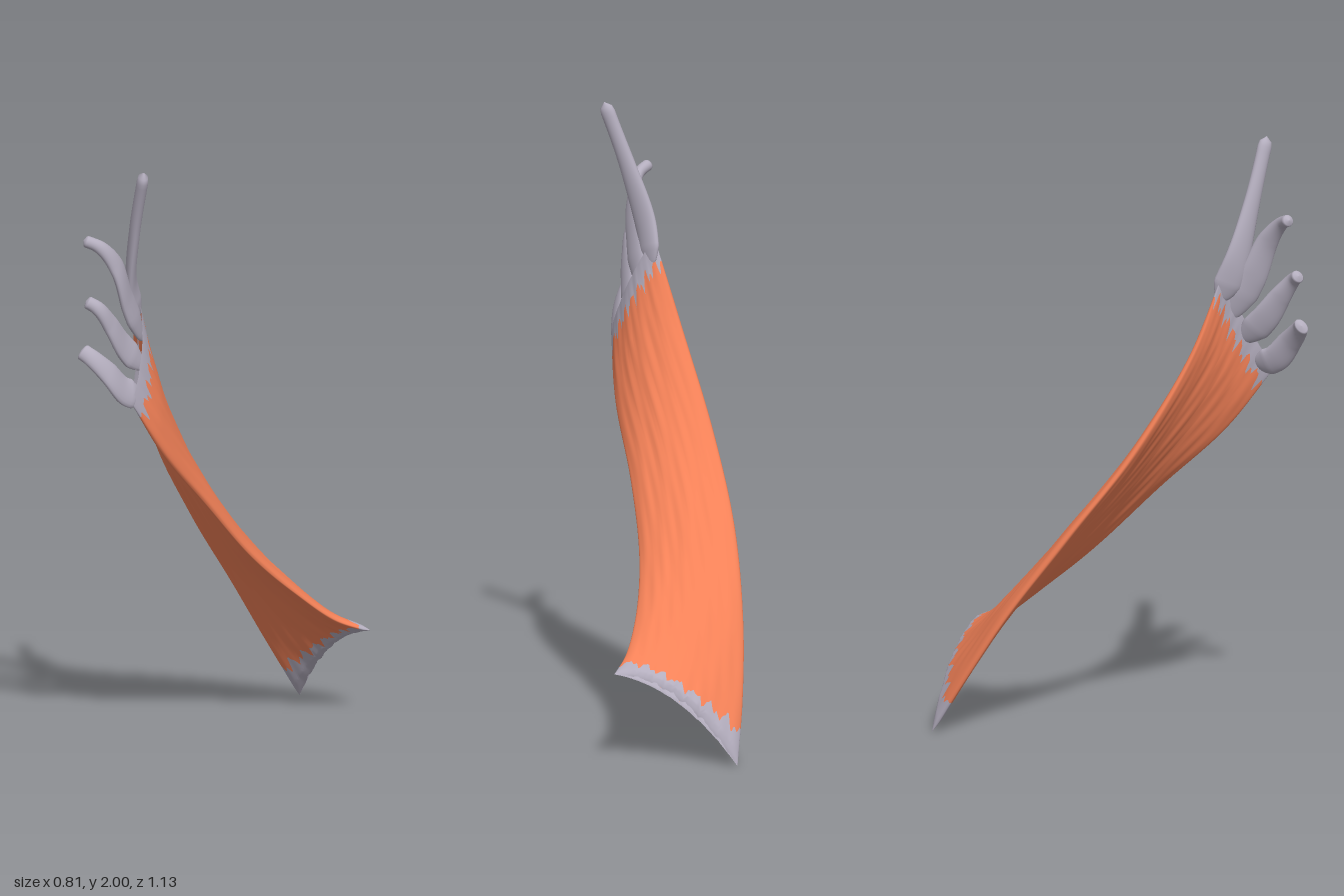
import * as THREE from 'three';

const V = (x, y, z) => new THREE.Vector3(x, y, z);
const curve = (pts) => new THREE.CatmullRomCurve3(pts.map((p) => V(...p)));
const flesh = new THREE.MeshStandardMaterial({ color: 0xf58258, side: THREE.DoubleSide });
const tendon = new THREE.MeshStandardMaterial({ color: 0xb3adbd, side: THREE.DoubleSide });

// Long edges of the twisted sheet, both running from the broad lower end upward
const rearEdge = curve([[0.11, 0.0, -0.56], [0.02, 0.195, -0.478], [-0.075, 0.42, -0.368],
  [-0.18, 0.69, -0.2], [-0.255, 0.97, 0], [-0.28, 1.3, 0.2], [-0.265, 1.56, 0.312]]);
const frontEdge = curve([[0.4, 0.3, -0.28], [0.3, 0.345, -0.222], [0.18, 0.455, -0.13],
  [0.06, 0.605, 0], [-0.05, 0.81, 0.175], [-0.15, 1.01, 0.365], [-0.24, 1.22, 0.5]]);

// Middle surface: w goes from rear edge to front edge, v along the fibres
function middle(w, v) {
  const arch = 4 * w * (1 - w), k = Math.min(1, v * 2.2);
  return rearEdge.getPoint(v).lerp(frontEdge.getPoint(v), w)
    .add(V(0.02 * k, 0.065 * (1 - k) + 0.015 * k, -0.012 * k).multiplyScalar(arch));
}

// Sheet skin: u runs round the flat lens-shaped section
function skin(u, v) {
  const w = (1 - Math.cos(u)) / 2, e = 0.004;
  const p = middle(w, v);
  const along = middle(w, Math.min(1, v + e)).sub(middle(w, Math.max(0, v - e)));
  const n = rearEdge.getPoint(v).sub(frontEdge.getPoint(v)).cross(along).normalize();
  const ends = Math.sqrt(Math.min(1, v / 0.03, (1 - v) / 0.12 + 0.1));
  const fibres = 1 + 0.07 * Math.sin(w * 21 + v * 9) * Math.sin(v * 11 + w * 5)
    + 0.05 * Math.sin(w * 53 - v * 12) * Math.sin(v * 17 + w * 9);
  const s = Math.sin(u);
  return p.addScaledVector(n, Math.sign(s) * Math.abs(s) ** 0.75 * 0.025 * ends * fibres);
}

// Closed-section surface from a point rule
function loft(name, material, point, nu, nv) {
  const pos = [], index = [];
  for (let j = 0; j <= nv; j++) {
    for (let i = 0; i < nu; i++) pos.push(...point((i / nu) * Math.PI * 2, j / nv).toArray());
  }
  for (let j = 0; j < nv; j++) {
    for (let i = 0; i < nu; i++) {
      const a = j * nu + i, b = j * nu + (i + 1) % nu;
      index.push(a, a + nu, b, b, a + nu, b + nu);
    }
  }
  const g = new THREE.BufferGeometry();
  g.setAttribute('position', new THREE.Float32BufferAttribute(pos, 3));
  g.setIndex(index);
  g.computeVertexNormals();
  const mesh = new THREE.Mesh(g, material);
  mesh.name = name;
  return mesh;
}

// Ragged borders between flesh and tendon
const ragged = (u, s) => {
  const w = (1 - Math.cos(u)) / 2;
  return Math.sin(w * 47 + s) * 0.5 + Math.sin(w * 83 + s * 2) * 0.3 + Math.sin(w * 131) * 0.3;
};
const borders = [
  (u) => (0.007 + 0.006 * ragged(u, 1)) * Math.sin(u) ** 2,
  (u) => 0.085 + 0.028 * ragged(u, 2) - 0.03 * Math.sin(u) ** 2,
  (u) => 0.955 + 0.025 * ragged(u, 4),
  () => 1,
];
const band = (k) => (u, t) => skin(u, THREE.MathUtils.lerp(borders[k](u), borders[k + 1](u), t));

// Flattened slip: narrow buried root, broad base, tapering to a rounded tip
function slip(name, w, pts, wide, narrow) {
  const path = new THREE.CatmullRomCurve3([middle(w, 0.965), ...pts.map((p) => V(...p))]);
  const across = V(-0.03, 0.35, -0.19);
  return loft(name, tendon, (u, t) => {
    const T = path.getTangent(t);
    const W = across.clone().addScaledVector(T, -across.dot(T)).normalize();
    const N = W.clone().cross(T);
    const tip = Math.sqrt(Math.max(0, Math.min(1, (1 - t) / 0.035)));
    const root = Math.sqrt(Math.min(1, t / 0.15));
    const a = THREE.MathUtils.lerp(wide, narrow, THREE.MathUtils.smoothstep(t, 0.15, 0.9)) * tip * root;
    const b = THREE.MathUtils.lerp(0.017, 0.019, t) * tip * root;
    return path.getPoint(t).addScaledVector(W, Math.cos(u) * a).addScaledVector(N, Math.sin(u) * b);
  }, 20, 40);
}

export function createModel() {
  const model = new THREE.Group();
  model.name = 'muscle';
  model.add(
    loft('lowerTendon', tendon, band(0), 160, 14),
    loft('muscleBelly', flesh, band(1), 160, 60),
    loft('upperTendon', tendon, band(2), 160, 12),
    slip('topSlip', 0.15, [[-0.268, 1.6, 0.36], [-0.245, 1.78, 0.42], [-0.2, 1.995, 0.49]], 0.05, 0.026),
    slip('secondSlip', 0.38, [[-0.27, 1.54, 0.415], [-0.3, 1.67, 0.458], [-0.345, 1.735, 0.488], [-0.4, 1.76, 0.497]], 0.05, 0.02),
    slip('thirdSlip', 0.62, [[-0.275, 1.4, 0.455], [-0.31, 1.48, 0.497], [-0.345, 1.54, 0.528], [-0.385, 1.565, 0.535]], 0.05, 0.022),
    slip('lowestSlip', 0.85, [[-0.265, 1.26, 0.495], [-0.31, 1.325, 0.53], [-0.36, 1.375, 0.545], [-0.4, 1.4, 0.54]], 0.05, 0.028),
  );
  return model;
}
